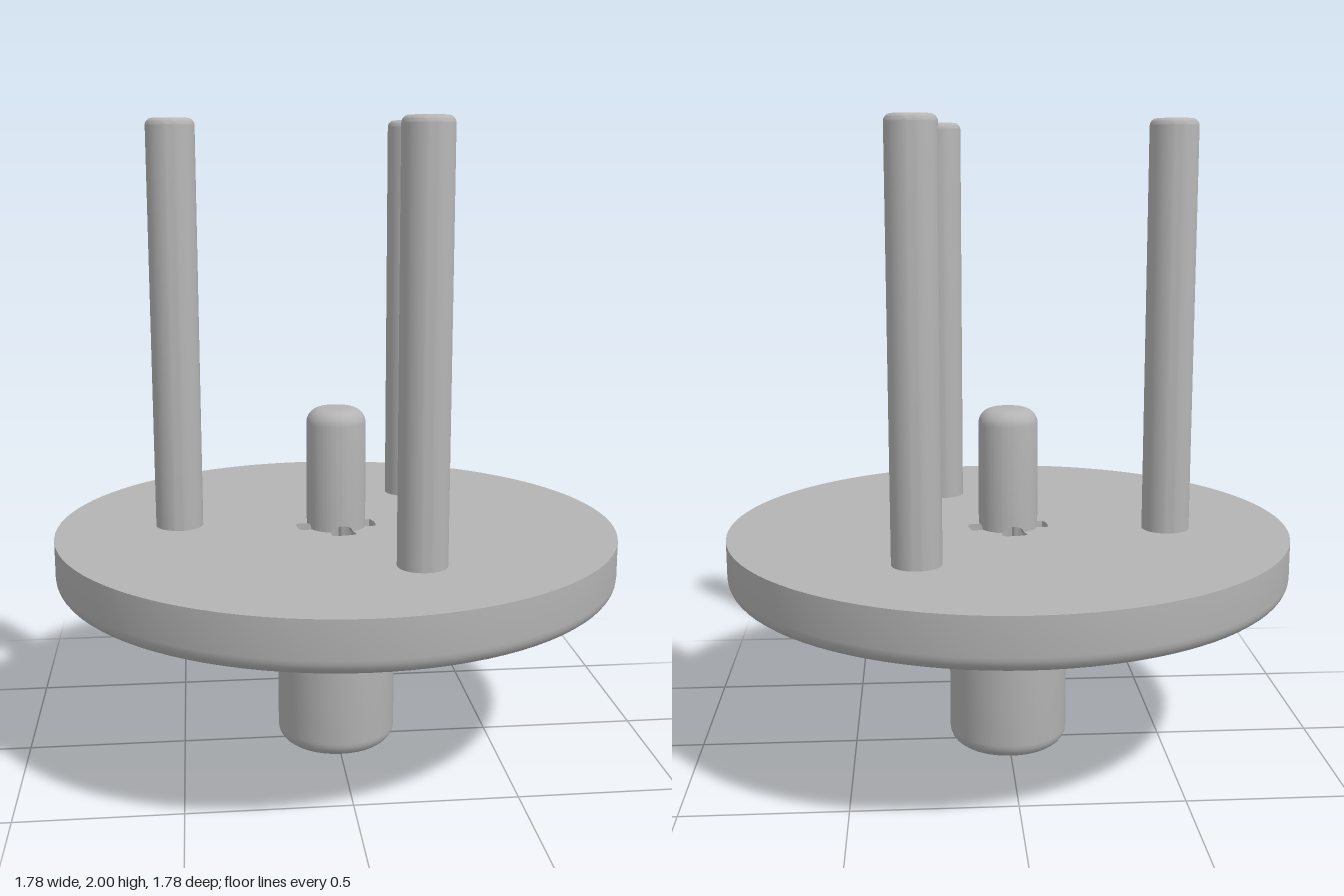
import * as THREE from 'three';
import { toCreasedNormals } from 'three/addons/utils/BufferGeometryUtils.js';

const TOP = 0.725;        // upper face of the disc
const TWIST = 0.12;       // rotation of the four bore slots
const V = (x, y) => new THREE.Vector2(x, y);

// quarter-round profile points around (cx, cy)
function fillet(cx, cy, r, from, to, n = 6) {
  return Array.from({ length: n + 1 }, (_, i) => {
    const a = from + (to - from) * i / n;
    return V(cx + r * Math.cos(a), cy + r * Math.sin(a));
  });
}

// angular distance to the nearest slot centre
function slotDistance(a) {
  const q = Math.PI / 2;
  const t = (a - TWIST) / q;
  return Math.abs(t - Math.round(t)) * q;
}

export function createModel() {
  const group = new THREE.Group();
  const grey = new THREE.MeshStandardMaterial({ color: 0xb4b4b4 });
  const add = (name, geo) => {
    const mesh = new THREE.Mesh(toCreasedNormals(geo, 0.6), grey);
    mesh.name = name;
    group.add(mesh);
    return mesh;
  };
  const H = Math.PI / 2;

  // stem and disc, both rounded at the lower edge
  add('stemAndDisc', new THREE.LatheGeometry([
    V(0.14, 0),
    ...fillet(0.14, 0.05, 0.05, -H, 0),
    V(0.19, 0.56),
    ...fillet(0.84, 0.61, 0.05, -H, 0),
    V(0.89, TOP),
    V(0.14, TOP),
  ].filter((p, i) => i !== 0), 96));

  // slotted bore through the stem and disc
  const ring = new THREE.Shape().absarc(0, 0, 0.14, 0, Math.PI * 2);
  const bore = [];
  for (let i = 0; i < 144; i++) {
    const a = i / 144 * Math.PI * 2;
    const r = 0.128 - 0.048 * THREE.MathUtils.smoothstep(slotDistance(a), 0.3, 0.44);
    bore.push(V(r * Math.cos(a), r * Math.sin(a)));
  }
  ring.holes.push(new THREE.Path(bore));
  const core = new THREE.ExtrudeGeometry(ring, { depth: TOP, bevelEnabled: false, curveSegments: 48 });
  core.rotateX(-H);
  add('slottedBore', core);

  // hollow centre pin
  const pin = new THREE.LatheGeometry([
    V(0, 0.95), V(0.08, 0.95), V(0.08, 0.72), V(0.094, 0.72),
    V(0.094, 0.78),
    ...fillet(0.046, 1.062, 0.048, 0, H),
    V(0, 1.11),
  ], 96);
  // arched notches at the foot of the pin, one above each slot
  const p = pin.attributes.position;
  for (let i = 0; i < p.count; i++) {
    if (p.getY(i) > 0.73) continue;
    const d = slotDistance(Math.atan2(-p.getZ(i), p.getX(i))) / 0.4;
    p.setY(i, 0.72 + 0.025 * Math.sqrt(Math.max(0, 1 - d * d)));
  }
  add('centrePin', pin);

  // three tall rods
  const rod = new THREE.LatheGeometry([
    V(0.075, TOP - 0.02),
    ...fillet(0.053, 1.978, 0.022, 0, H),
    V(0, 2),
  ], 48);
  for (const [x, z] of [[-0.5, -0.055], [0.293, -0.41], [0.205, 0.455]]) {
    add('rod', rod).position.set(x, 0, z);
  }
  return group;
}
